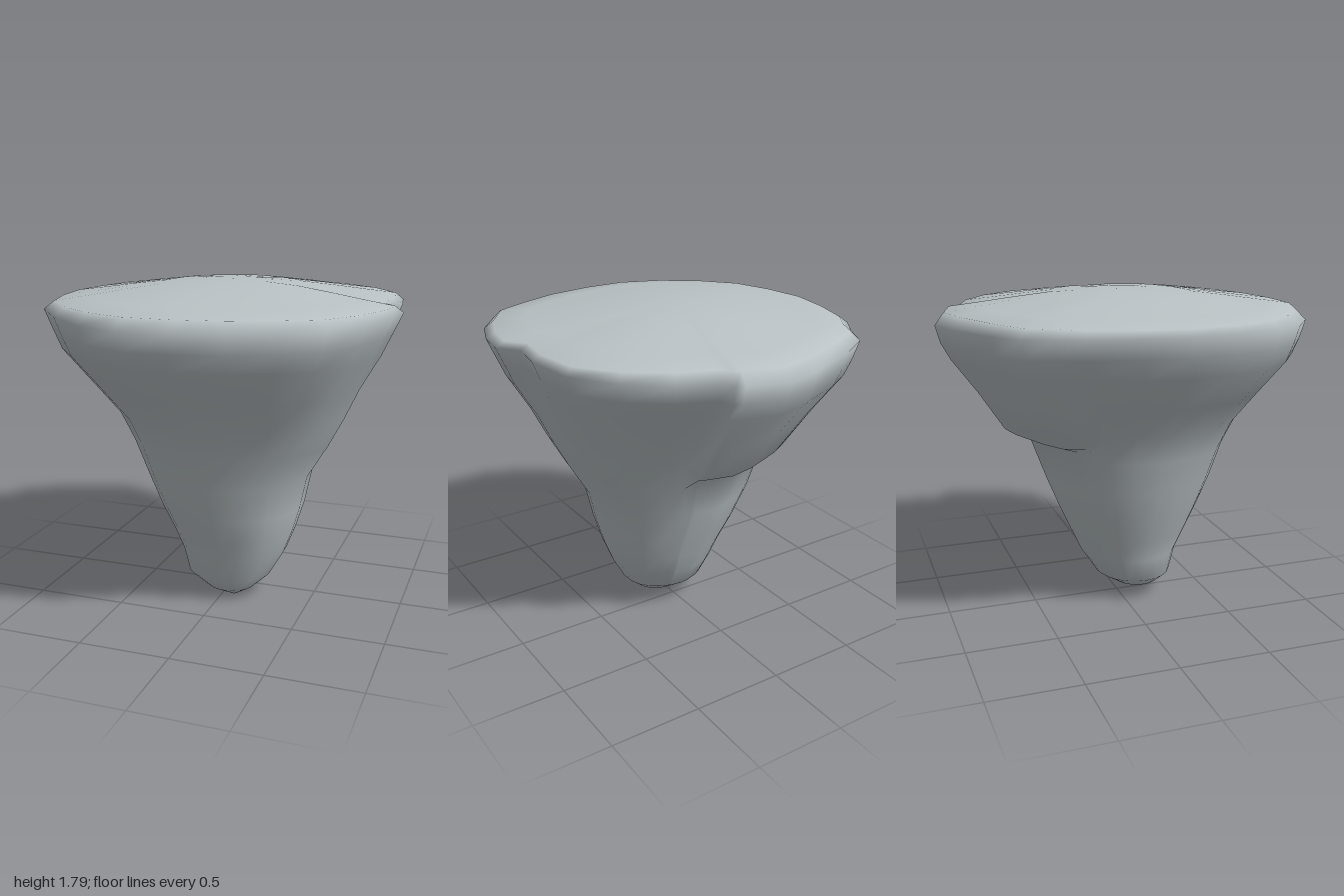
import * as THREE from 'three';

// Rim outline (x, z) seen from above, running front -> +x -> back -> -x
const RIM = [
  [0.02, 0.99], [0.29, 0.945], [0.53, 0.85], [0.72, 0.755], [0.86, 0.55], [0.94, 0.33], [0.965, 0.15],
  [0.88, 0.04], [0.91, -0.16], [0.87, -0.43], [0.71, -0.64], [0.5, -0.79], [0.3, -0.86],
  [0.26, -0.92], [0.22, -0.94], [0, -1], [-0.2, -0.95], [-0.53, -0.81], [-0.7, -0.71], [-0.77, -0.57],
  [-0.86, -0.44], [-0.93, -0.2], [-0.97, 0.05], [-0.935, 0.31], [-0.86, 0.55], [-0.69, 0.75],
  [-0.48, 0.9], [-0.24, 0.99],
];
const NOTCH = 7;               // inward kink on the +x side
const SLAB = [13, 19];         // points belonging to the thicker back slab

// Cross-sections: y, -x extent, +x extent, front z, back z, slab swelling
const LEVELS = [
  [0.05, -0.1, 0.17, 0.26, 0.0, 1],
  [0.13, -0.22, 0.26, 0.32, -0.12, 1],
  [0.27, -0.26, 0.34, 0.36, -0.21, 1],
  [0.4, -0.31, 0.39, 0.42, -0.27, 1],
  [0.55, -0.38, 0.435, 0.48, -0.34, 1],
  [0.74, -0.45, 0.475, 0.55, -0.42, 1],
  [0.93, -0.52, 0.59, 0.61, -0.505, 1],
  [1.09, -0.585, 0.675, 0.685, -0.585, 1.08],
  [1.26, -0.72, 0.755, 0.8, -0.72, 1.08],
  [1.45, -0.87, 0.865, 0.945, -0.87, 1.055],
  [1.56, -0.92, 0.915, 0.98, -0.95, 1.02],
  [1.67, -0.97, 0.965, 1.0, -0.995, 1],
];

// Domed top: y, scale of the rim
const DOME = [[1.7, 0.95], [1.722, 0.78], [1.747, 0.6], [1.772, 0.4], [1.785, 0.2]];

function buildRock() {
  const n = RIM.length;
  const clamp01 = (v) => THREE.MathUtils.clamp(v, 0, 1);
  const pos = [0.07, 0, 0.18];
  for (const [y, left, right, front, back, swell] of LEVELS) {
    const cx = (left + right) / 2, cz = (front + back) / 2;
    const hx = (right - left) / 2 / 0.967, hz = (front - back) / 2 / 0.995;
    const round = 0.8 * clamp01((1.2 - y) / 0.5);
    RIM.forEach(([rx, rz], i) => {
      // lower sections grow rounder
      let s = THREE.MathUtils.lerp(1, 0.98 / Math.hypot(rx, rz), round);
      let py = y - 0.035 * rz * rz * clamp01((y - 1.45) / 0.2);
      if (i >= SLAB[0] && i <= SLAB[1]) {
        s *= i === SLAB[1] ? (1 + swell) / 2 : swell;
        // blunt underside of the slab
        if (Math.abs(y - 1.01) < 0.1) py = 1.01 + (y - 1.01) * 0.3;
      }
      // the notch fades out on the lower half
      if (i === NOTCH) s *= 1 + 0.07 * clamp01((1.5 - y) / 0.3) * (1 - round / 0.8);
      pos.push(cx + rx * hx * s, py, cz + rz * hz * s);
    });
  }
  for (const [y, s] of DOME) for (const [x, z] of RIM) pos.push(x * s, y, z * s);
  pos.push(0, 1.79, 0);

  const rings = LEVELS.length + DOME.length;
  const top = 1 + rings * n;
  const index = [];
  for (let i = 0; i < n; i++) {
    const k = (i + 1) % n;
    index.push(0, 1 + k, 1 + i);
    for (let j = 0; j < rings - 1; j++) {
      const a = 1 + j * n + i, b = 1 + j * n + k;
      index.push(a, b, b + n, a, b + n, a + n);
    }
    index.push(top - n + i, top - n + k, top);
  }
  const geo = new THREE.BufferGeometry();
  geo.setAttribute('position', new THREE.Float32BufferAttribute(pos, 3));
  geo.setIndex(index);
  geo.computeVertexNormals();
  return geo;
}

export function createModel() {
  const group = new THREE.Group();
  group.name = 'floatingRock';
  const stone = new THREE.MeshStandardMaterial({ color: 0xbac2c5 });
  stone.name = 'greyStone';
  const rock = new THREE.Mesh(buildRock(), stone);
  rock.name = 'rockBody';
  group.add(rock);
  return group;
}
